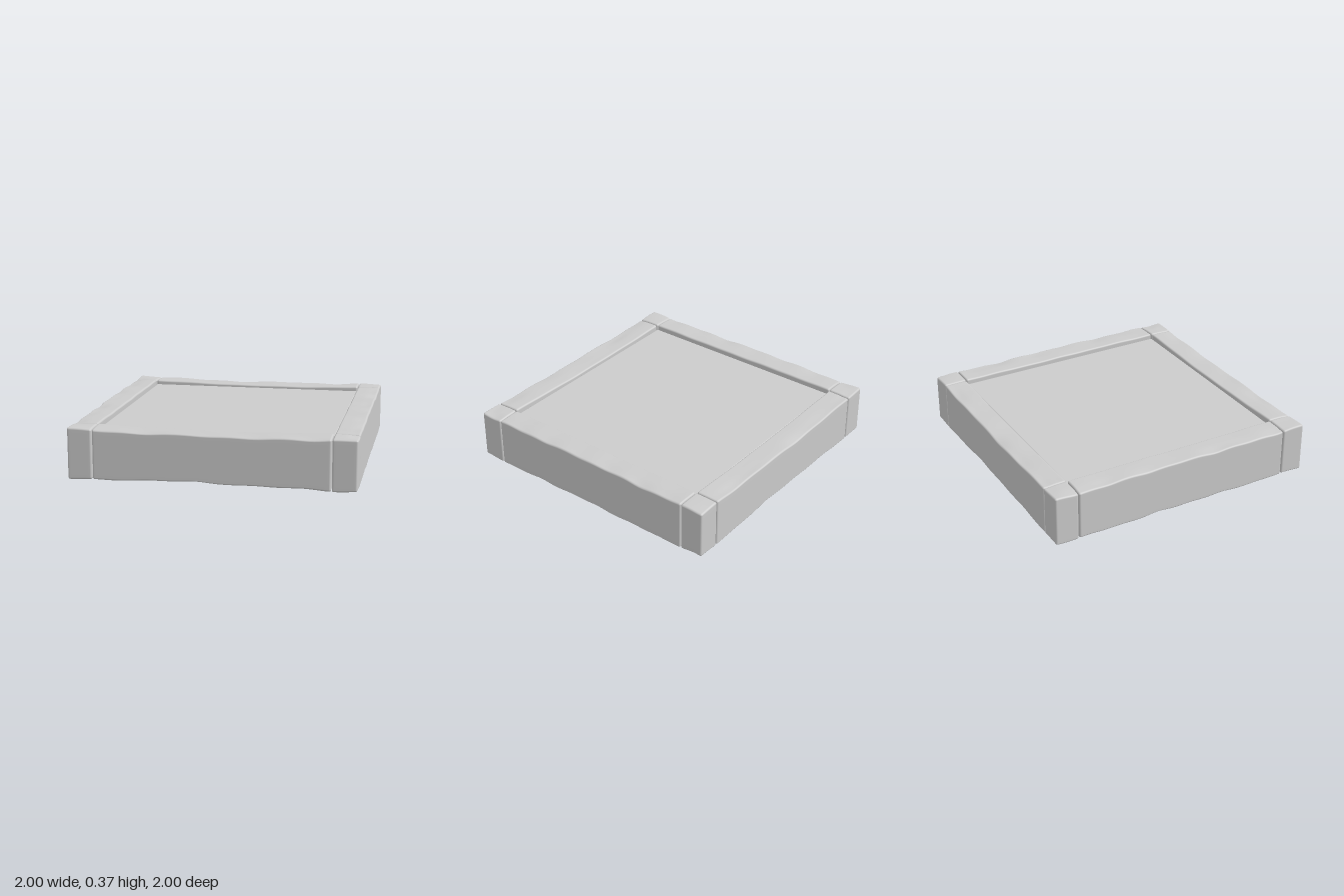
import * as THREE from 'three';
import { mergeVertices } from 'three/addons/utils/BufferGeometryUtils.js';

const MID = 0.187; // height of the middle plane
const HALF = 0.185; // half thickness of the border stones
const ROUND = 3; // segments across each rounded edge

// Box with rounded edges and enough segments to be worn down afterwards.
function stoneGeometry(size, segments, radius) {
  const half = size.map((s) => s / 2);
  const count = segments.map((s) => s + 2 * ROUND);
  let geo = new THREE.BoxGeometry(1, 1, 1, ...count);
  geo.deleteAttribute('uv');
  geo.deleteAttribute('normal');
  geo = mergeVertices(geo, 1e-5);
  const pos = geo.attributes.position;
  const v = new THREE.Vector3();
  const core = new THREE.Vector3();
  for (let i = 0; i < pos.count; i++) {
    v.fromBufferAttribute(pos, i);
    for (let a = 0; a < 3; a++) {
      // Squeeze the outer segments into the rounded edge zone
      const k = Math.round((v.getComponent(a) + 0.5) * count[a]);
      const inner = half[a] - radius;
      const fromEnd = Math.min(k, count[a] - k);
      let p;
      if (fromEnd < ROUND) {
        const edge = Math.tan(((1 - fromEnd / ROUND) * Math.PI) / 4);
        p = (k < ROUND ? -1 : 1) * (inner + radius * edge);
      } else {
        p = inner * (2 * (k - ROUND) / segments[a] - 1);
      }
      v.setComponent(a, p);
      core.setComponent(a, THREE.MathUtils.clamp(p, -inner, inner));
    }
    v.sub(core);
    if (v.lengthSq() > 1e-12) v.setLength(radius);
    v.add(core);
    pos.setXYZ(i, v.x, v.y, v.z);
  }
  return geo;
}

// Smooth unevenness between 0 and 1
function unevenness(x, z, side) {
  const s = Math.sin(x * 9 + z * 5 + side * 1.7) + Math.sin(x * 17 - z * 13 + side * 2.9)
    + Math.sin(x * 5 + z * 23 + side);
  return s / 6 + 0.5;
}

// Lowers the top and raises the bottom, mostly along the outer edges.
function wear(geo, x0, z0, sag) {
  const pos = geo.attributes.position;
  for (let i = 0; i < pos.count; i++) {
    const x = pos.getX(i) + x0;
    const y = pos.getY(i);
    const z = pos.getZ(i) + z0;
    const side = Math.sign(y);
    const level = Math.abs(y) / HALF;
    const outer = THREE.MathUtils.smoothstep(Math.max(Math.abs(x), Math.abs(z)), 0.9, 1);
    const dip = sag * (1 - Math.min(1, (x / 0.85) ** 2));
    const n = unevenness(x, z, side);
    const drop = dip + 0.006 * n + 0.012 * outer * n * n;
    pos.setY(i, y - side * level ** 2 * drop);
  }
}

export function createModel() {
  const group = new THREE.Group();
  const material = new THREE.MeshStandardMaterial({ color: 0xcccccc });

  function addPart(name, geo, x, z) {
    geo.computeVertexNormals();
    const mesh = new THREE.Mesh(geo, material);
    mesh.name = name;
    mesh.position.set(x, MID, z);
    group.add(mesh);
  }

  function addStone(name, width, depth, x, z, sag) {
    const geo = stoneGeometry(
      [width, HALF * 2, depth],
      [width > 1 ? 48 : 8, 8, depth > 1 ? 48 : 8], 0.014);
    wear(geo, x, z, sag);
    addPart(name, geo, x, z);
  }

  // Smooth slab set slightly below the border
  addPart('centreSlab', stoneGeometry([1.646, 0.3, 1.646], [2, 2, 2], 0.012), 0, 0);

  // Long border stones; the front and back ones are thinner in the middle
  const at = 0.914;
  const thick = 0.172;
  const long = 1.646;
  addStone('frontBorder', long, thick, 0, at, 0.014);
  addStone('backBorder', long, thick, 0, -at, 0.014);
  addStone('leftBorder', thick, long, at, 0, 0);
  addStone('rightBorder', thick, long, -at, 0, 0);

  // Corner blocks
  for (const [xName, sx] of [['Left', 1], ['Right', -1]]) {
    for (const [zName, sz] of [['front', 1], ['back', -1]]) {
      addStone(`${zName}${xName}Corner`, thick, thick, sx * at, sz * at, 0);
    }
  }
  return group;
}
